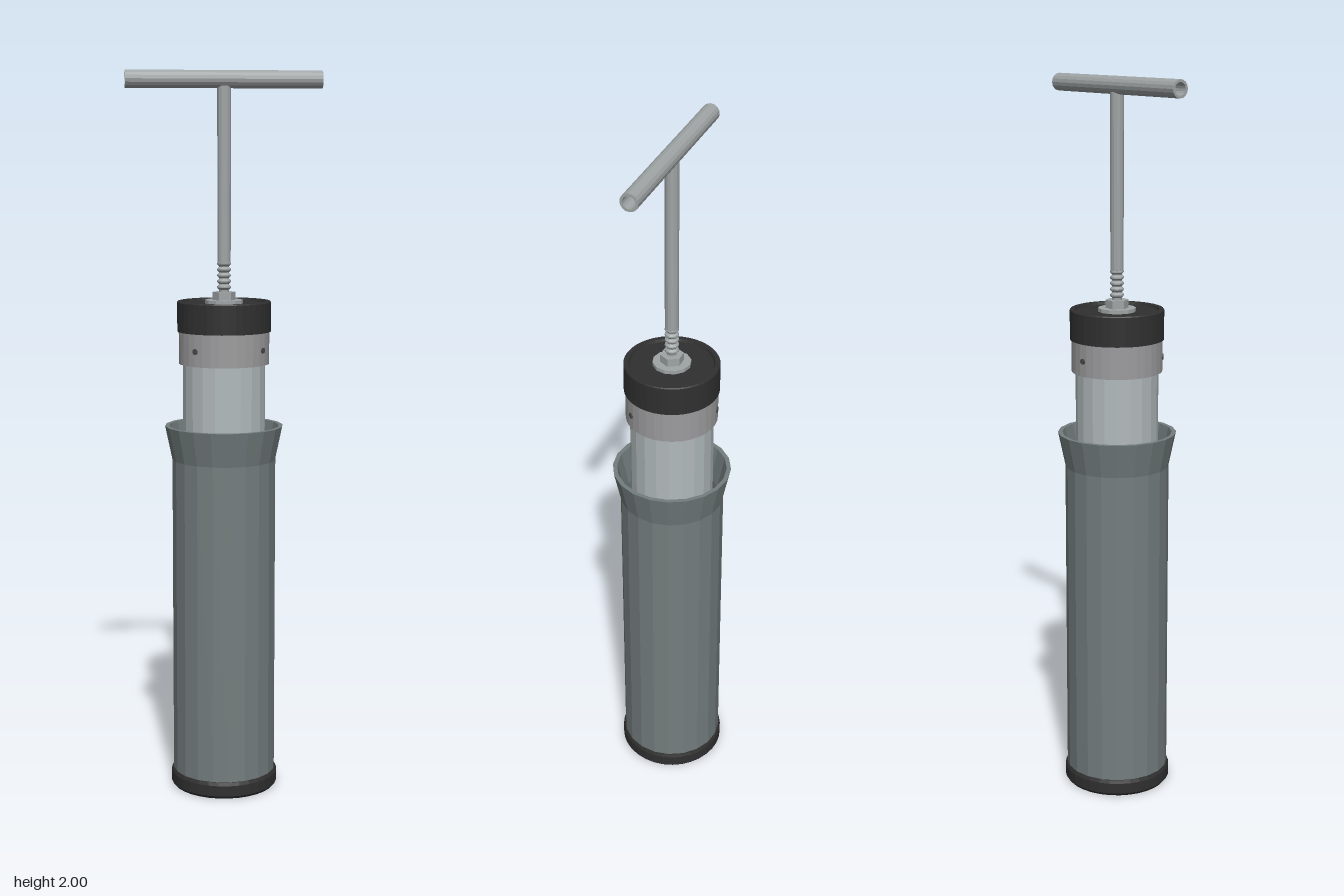
import * as THREE from 'three';

const paint = (name, color, flatShading = true) => {
  const m = new THREE.MeshStandardMaterial({ color, flatShading });
  m.name = name;
  return m;
};

export function createModel() {
  const group = new THREE.Group();
  group.name = 'handPump';
  const sleeveGrey = paint('sleeve grey', 0x747d7e);
  const paleMetal = paint('pale metal', 0xb2babc);
  const steel = paint('steel', 0x9fa4a5);
  const collarGrey = paint('collar grey', 0x9c9c9e);
  const black = paint('black rubber', 0x303030);
  const dark = paint('dark screw', 0x4a4a4c);

  const add = (name, geometry, material, y = 0) => {
    const mesh = new THREE.Mesh(geometry, material);
    mesh.name = name;
    mesh.position.y = y;
    group.add(mesh);
    return mesh;
  };
  // profile runs up the outside, then over the top
  const turn = (name, profile, sides, material) =>
    add(name, new THREE.LatheGeometry(profile.map(([r, y]) => new THREE.Vector2(r, y)), sides), material);

  // base cap with chamfered edges
  turn('baseCap', [[0, 0], [0.144, 0], [0.15, 0.008], [0.15, 0.038], [0.146, 0.047], [0, 0.047]], 32, black);

  // hollow outer sleeve with flared mouth
  turn('sleeve', [[0.144, 0.04], [0.144, 0.94], [0.164, 1.035], [0.152, 1.035],
    [0.132, 0.94], [0.132, 0.06], [0, 0.06]], 20, sleeveGrey);

  // sliding inner barrel
  turn('innerBarrel', [[0, 0.07], [0.114, 0.07], [0.114, 1.26], [0, 1.26]], 20, paleMetal);

  // collar and its screws
  turn('collar', [[0.11, 1.208], [0.125, 1.208], [0.125, 1.3], [0.11, 1.3]], 32, collarGrey);
  for (const degrees of [-44, 52, 186]) {
    const a = THREE.MathUtils.degToRad(degrees);
    const screw = add('collarScrew', new THREE.CylinderGeometry(0.008, 0.008, 0.006, 10), dark, 1.25);
    screw.position.x = Math.sin(a) * 0.125;
    screw.position.z = Math.cos(a) * 0.125;
    screw.rotation.set(Math.PI / 2, 0, -a);
  }

  // top cap with a shallow recess
  turn('topCap', [[0, 1.297], [0.129, 1.297], [0.129, 1.377], [0.127, 1.38], [0.115, 1.38],
    [0.112, 1.373], [0, 1.373]], 40, black);

  // washer, nut and threaded stud
  add('washer', new THREE.CylinderGeometry(0.052, 0.052, 0.012, 12), steel, 1.377);
  add('nut', new THREE.CylinderGeometry(0.032, 0.032, 0.022, 6), steel, 1.394).rotation.y = Math.PI / 6;
  add('stud', new THREE.CylinderGeometry(0.014, 0.014, 0.12, 12), steel, 1.435);
  for (let i = 0; i < 5; i++) {
    turn('thread', [[0.013, 1.41 + i * 0.016], [0.019, 1.416 + i * 0.016],
      [0.019, 1.42 + i * 0.016], [0.013, 1.426 + i * 0.016]], 12, steel);
  }

  // plunger rod
  add('plungerRod', new THREE.CylinderGeometry(0.0185, 0.0185, 0.473, 14), steel, 1.7215);

  // open tubular handle
  const handle = turn('handle', [[0.024, -0.267], [0.024, 0.267], [0.017, 0.267],
    [0.017, -0.267], [0.024, -0.267]], 16, steel);
  handle.rotation.z = Math.PI / 2;
  handle.position.y = 1.976;

  return group;
}
